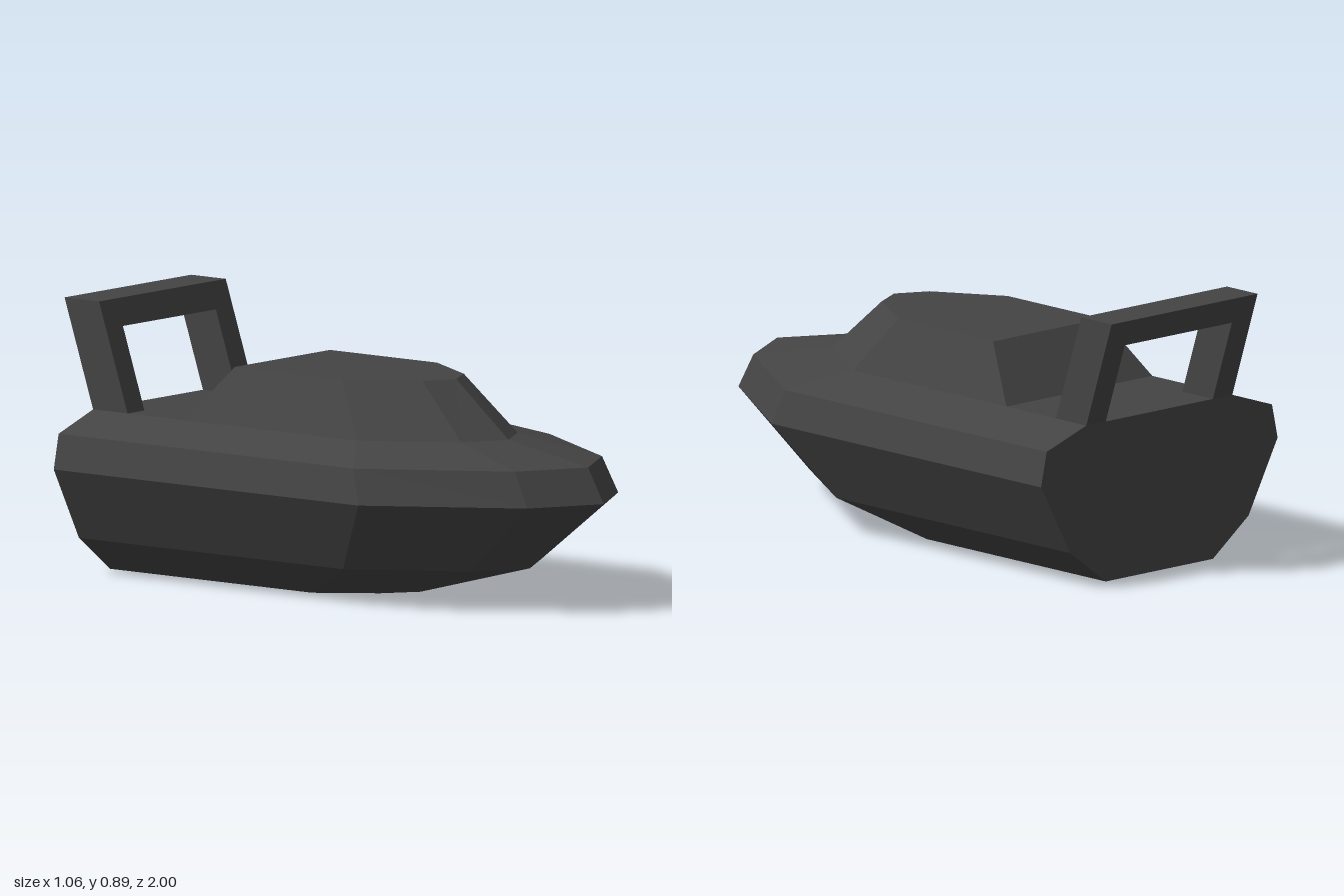
import * as THREE from 'three';

const material = new THREE.MeshStandardMaterial({ color: 0x444444, flatShading: true });

// One boat-shaped ring: stern corner, shoulder, bow quarter and tip, mirrored in x.
function ring([y, sternZ, width, shoulderZ, quarterX, quarterZ, tipZ]) {
  const half = [[width, sternZ], [width, shoulderZ], [quarterX, quarterZ]];
  const mirrored = half.map(([x, z]) => [-x, z]).reverse();
  return [...half, [0, tipZ], ...mirrored].map(([x, z]) => [x, y, z]);
}

// Faceted skin through the rings, bottom to top, with flat caps.
function loft(sections) {
  const rings = sections.map(ring);
  const n = rings[0].length;
  const pos = [];
  const tri = (a, b, c) => pos.push(...a, ...b, ...c);
  for (let r = 0; r < rings.length - 1; r++) {
    const lo = rings[r], hi = rings[r + 1];
    for (let i = 0; i < n; i++) {
      const j = (i + 1) % n;
      // diagonals mirrored between port and starboard
      if (i < n / 2) {
        tri(lo[i], hi[i], lo[j]);
        tri(lo[j], hi[i], hi[j]);
      } else {
        tri(lo[i], hi[i], hi[j]);
        tri(lo[i], hi[j], lo[j]);
      }
    }
  }
  const bottom = rings[0], top = rings[rings.length - 1];
  for (let i = 1; i < n - 1; i++) {
    tri(bottom[0], bottom[i], bottom[i + 1]);
    tri(top[0], top[i + 1], top[i]);
  }
  const geo = new THREE.BufferGeometry();
  geo.setAttribute('position', new THREE.Float32BufferAttribute(pos, 3));
  geo.computeVertexNormals();
  return geo;
}

function add(group, name, geometry) {
  const mesh = new THREE.Mesh(geometry, material);
  mesh.name = name;
  group.add(mesh);
}

export function createModel() {
  const model = new THREE.Group();
  model.name = 'boat';

  // Hull: y, sternZ, width, shoulderZ, quarterX, quarterZ, tipZ
  add(model, 'hull', loft([
    [0, -0.88, 0.24, -0.03, 0.11, 0.15, 0.23],
    [0.12, -0.88, 0.4, 0.23, 0.18, 0.59, 0.69],
    [0.36, -0.88, 0.53, 0.4, 0.235, 0.87, 1],
    [0.475, -0.88, 0.505, 0.36, 0.225, 0.81, 0.935],
    [0.535, -0.88, 0.327, 0.23, 0.145, 0.52, 0.6],
  ]));

  // Raised cabin on the deck
  add(model, 'cabin', loft([
    [0.535, -0.5, 0.327, 0.23, 0.145, 0.52, 0.6],
    [0.715, -0.35, 0.245, 0.1, 0.107, 0.325, 0.38],
  ]));

  // Stern arch: U-shaped frame, raked backwards
  const arch = new THREE.Shape([
    [-0.327, 0.535], [-0.24, 0.535], [-0.24, 0.805], [0.24, 0.805],
    [0.24, 0.535], [0.327, 0.535], [0.327, 0.893], [-0.327, 0.893],
  ].map(([x, y]) => new THREE.Vector2(x, y)));
  const archGeo = new THREE.ExtrudeGeometry(arch, { depth: 0.145, bevelEnabled: false });
  const p = archGeo.attributes.position;
  for (let i = 0; i < p.count; i++) {
    p.setZ(i, p.getZ(i) - 0.88 - (p.getY(i) - 0.535) * 0.335);
  }
  archGeo.computeVertexNormals();
  add(model, 'sternArch', archGeo);

  return model;
}
